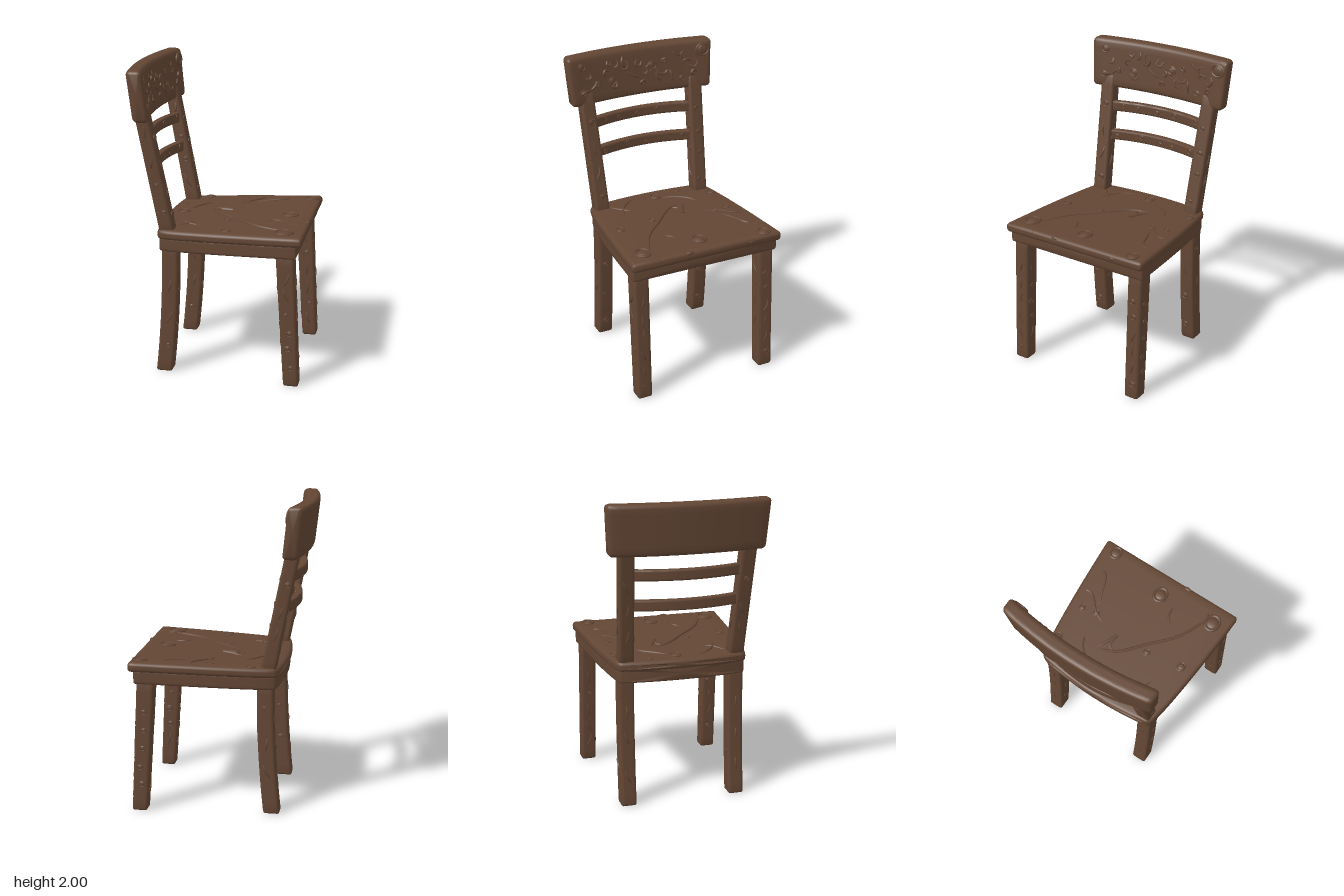
import * as THREE from 'three';
import { toCreasedNormals, mergeGeometries } from 'three/addons/utils/BufferGeometryUtils.js';

const V = (x, y, z) => new THREE.Vector3(x, y, z);
let seed = 11;
const rnd = (a = 0, b = 1) => {
  seed = (seed * 16807) % 2147483647;
  return a + (b - a) * (seed / 2147483647);
};

// Maps (u, v, along) to world axes for a beam running along x, y or z
const place = {
  x: (u, v, s) => V(s, u, v),
  y: (u, v, s) => V(v, s, u),
  z: (u, v, s) => V(u, v, s),
};

// Rounded beam: at(s) gives [centreU, centreV, halfU, halfV]; r rounds all edges
function beam(axis, s0, s1, at, r, steps = 14, warp = p => p) {
  const stations = [];
  const ends = [0.2, 0.6, 1.0, Math.PI / 2];
  for (const a of ends) stations.push([s0 + r * (1 - Math.cos(a)), r * Math.sin(a)]);
  for (let i = 1; i < steps; i++) stations.push([s0 + r + (s1 - s0 - 2 * r) * i / steps, r]);
  for (const a of [...ends].reverse()) stations.push([s1 - r * (1 - Math.cos(a)), r * Math.sin(a)]);

  const ring = ([s, rad]) => {
    const [cu, cv, hu, hv] = at(s), pts = [];
    for (let c = 0; c < 4; c++) {
      const su = c === 0 || c === 3 ? 1 : -1, sv = c < 2 ? 1 : -1;
      for (let k = 0; k <= 3; k++) {
        const a = (c + k / 3) * Math.PI / 2;
        pts.push([su * (hu - r) + rad * Math.cos(a), sv * (hv - r) + rad * Math.sin(a)]);
      }
      // subdivide the flat side so it can be bent
      const last = pts[pts.length - 1], n = (c + 1) % 4, b = (c + 1) * Math.PI / 2;
      const next = [(n === 0 || n === 3 ? 1 : -1) * (hu - r) + rad * Math.cos(b),
        (n < 2 ? 1 : -1) * (hv - r) + rad * Math.sin(b)];
      for (let k = 1; k < 8; k++) {
        pts.push([last[0] + (next[0] - last[0]) * k / 8, last[1] + (next[1] - last[1]) * k / 8]);
      }
    }
    return pts.map(([u, v]) => warp(place[axis](cu + u, cv + v, s)));
  };
  const rings = stations.map(ring), n = rings[0].length, pos = [];
  const tri = (...ps) => ps.forEach(p => pos.push(p.x, p.y, p.z));
  const mid = s => { const [cu, cv] = at(s); return warp(place[axis](cu, cv, s)); };
  const A = rings[0], Z = rings[rings.length - 1], ca = mid(stations[0][0]), cz = mid(stations[stations.length - 1][0]);
  for (let i = 0; i < n; i++) {
    const j = (i + 1) % n;
    for (let k = 0; k + 1 < rings.length; k++) {
      const a = rings[k], b = rings[k + 1];
      tri(a[i], a[j], b[j]);
      tri(a[i], b[j], b[i]);
    }
    tri(A[j], A[i], ca);
    tri(Z[i], Z[j], cz);
  }
  const g = new THREE.BufferGeometry();
  g.setAttribute('position', new THREE.Float32BufferAttribute(pos, 3));
  return toCreasedNormals(g, 0.6);
}

// Raised vein through points; its ends should dip below the surface
const vein = (pts, rad) => new THREE.TubeGeometry(new THREE.CatmullRomCurve3(pts), 20, rad, 6).toNonIndexed();

// Knot: a flattened dome with a rim, lying on a surface with the given normal
function knot(p, normal, rad) {
  const dome = new THREE.SphereGeometry(rad * 0.75, 12, 8).scale(1, 1, 0.3).toNonIndexed();
  const rim = new THREE.TorusGeometry(rad, rad * 0.2, 6, 16).scale(1, 0.85, 1).toNonIndexed();
  const q = new THREE.Quaternion().setFromUnitVectors(V(0, 0, 1), normal);
  return mergeGeometries([dome, rim]).applyQuaternion(q).translate(p.x, p.y, p.z);
}

export function createModel() {
  const chair = new THREE.Group();
  chair.name = 'chair';
  const wood = new THREE.MeshStandardMaterial({ color: 0x634634 });
  wood.name = 'dark brown wood';
  const add = (name, geo) => {
    const m = new THREE.Mesh(geo, wood);
    m.name = name;
    chair.add(m);
  };

  // Seat board and apron, tilted slightly back, with a bowed rear edge
  const seatTop = x => 0.983 + 0.03 * x;
  const width = x => 0.415 + 0.108 * Math.pow(Math.max(0, (x + 0.4) / 0.97), 0.55);
  const bowBack = p => {
    const k = Math.max(0, Math.min(1, (0.2 - p.x) / 0.58));
    p.x += 0.04 * k * (p.z / 0.45) ** 2;
    return p;
  };
  add('seat', beam('x', -0.405, 0.57, x => [seatTop(x) - 0.031, 0, 0.031, width(x)], 0.022, 20, bowBack));
  add('apron', beam('x', -0.392, 0.535, x => [0.889 + 0.03 * x, 0, 0.047, width(x) - 0.012], 0.014, 20, bowBack));

  // Grain veins on the seat, as x, z points
  const seatVeins = [
    [[-0.13, -0.16], [-0.08, -0.03], [0.08, 0.12], [0.25, 0.27], [0.53, 0.39]],
    [[-0.13, -0.16], [-0.04, -0.11], [0.03, -0.08], [-0.06, -0.09], [-0.1, -0.03]],
    [[0.17, -0.47], [0.18, -0.4], [0.08, -0.29], [0.03, -0.18]],
    [[0.36, -0.45], [0.34, -0.39], [0.22, -0.34], [0.09, -0.29]],
    [[-0.05, -0.28], [-0.17, -0.23], [-0.25, -0.12], [-0.28, -0.04]],
    [[-0.36, 0.06], [-0.29, 0.18], [-0.2, 0.25], [-0.08, 0.29]],
    [[-0.33, 0.35], [-0.2, 0.25], [-0.14, 0.18]],
    [[0.25, 0.2], [0.32, 0.13], [0.43, 0.12]],
    [[0.36, 0.42], [0.43, 0.36], [0.53, 0.33]],
  ];
  const seatGeos = seatVeins.map((v, i) => vein(v.map(([x, z], k) =>
    V(x, seatTop(x) + (k === 0 || k === v.length - 1 ? -0.013 : 0), z)), i < 2 ? 0.011 : 0.008));
  const seatKnots = [[0.42, 0, 0.05], [0.03, 0.145, 0.024], [0.07, 0.39, 0.03], [-0.3, -0.03, 0.038],
    [-0.2, -0.41, 0.028], [-0.33, -0.21, 0.02], [0.06, -0.39, 0.022], [0.51, -0.42, 0.042], [0.44, 0.4, 0.055], [0.08, -0.29, 0.022]];
  for (const [x, z, r] of seatKnots) seatGeos.push(knot(V(x, seatTop(x), z), V(-0.03, 1, 0).normalize(), r));
  // Rough lumps along the front edge
  for (let i = 0; i < 12; i++) {
    const s = rnd(0.012, 0.026);
    seatGeos.push(new THREE.SphereGeometry(s, 8, 6).scale(0.7, 0.6, 1.5).toNonIndexed()
      .translate(0.557, rnd(0.955, 1.0), -0.48 + 0.96 * i / 11));
  }
  add('seatGrain', mergeGeometries(seatGeos));

  // Legs and posts: [name, y range, side offset, x centre, half sizes]
  const uprights = [
    ['FrontLeg', 0, 0.88, () => 0.442, y => 0.512 - 0.058 * y, () => 0.05, y => 0.049 + 0.01 * y, 22],
    ['BackLeg', 0, 0.88, () => 0.365, y => -0.292 - 0.047 * Math.max(0, 1 - y / 0.83) ** 2, () => 0.051, () => 0.053, 12],
    ['BackPost', 0.95, 1.76, y => 0.366 + 0.037 * (y - 1), y => -0.3125 - 0.196 * (y - 0.97), () => 0.049, y => 0.048 - 0.006 * (y - 0.97), 14],
  ];
  for (const [name, y0, y1, zc, xc, hz, hx, lumps] of uprights) {
    for (const side of [1, -1]) {
      const label = (side > 0 ? 'left' : 'right') + name;
      add(label, beam('y', y0, y1, y => [side * zc(y), xc(y), hz(y), hx(y)], 0.016));
      // Bark lumps and short veins on the faces
      const bark = [];
      for (let i = 0; i < lumps; i++) {
        const y = y0 + 0.08 + (y1 - y0 - 0.22) * (i + rnd()) / lumps;
        const face = i % 4, off = rnd(-0.025, 0.025);
        const dir = face % 2 === 0 ? V(face === 0 ? 1 : -1, 0, 0) : V(0, 0, face === 1 ? 1 : -1);
        const on = (yy, o, lift) => V(
          xc(yy) + dir.x * (hx(yy) + lift) + Math.abs(dir.z) * o, yy,
          side * zc(yy) + dir.z * (hz(yy) + lift) + Math.abs(dir.x) * o);
        if (rnd() < 0.45) bark.push(knot(on(y, off * 0.6, 0), dir, rnd(0.012, 0.022)));
        else bark.push(vein([on(y - 0.05, -off, -0.008), on(y, off * 0.5, 0.002), on(y + 0.05, off, -0.008)], 0.007));
      }
      add(label + 'Bark', mergeGeometries(bark));
    }
  }

  // Two bowed back slats
  for (const [name, y, x] of [['lowerSlat', 1.348, -0.452], ['upperSlat', 1.545, -0.484]]) {
    const cx = z => x + 0.065 * (z / 0.36) ** 2;
    add(name, beam('z', -0.37, 0.37, z => [cx(z), y, 0.023, 0.035], 0.01, 20));
    const bits = [];
    for (let i = 0; i < 5; i++) {
      const z = -0.28 + 0.14 * i + rnd(-0.03, 0.03);
      bits.push(knot(V(cx(z) + 0.023, y + rnd(-0.012, 0.012), z), V(1, 0, 0), rnd(0.012, 0.02)));
    }
    add(name + 'Knots', mergeGeometries(bits));
  }

  // Crest rail: bowed, leaning back and wider at the top
  const crestX = (y, z) => -0.512 - 0.11 * (y - 1.835) + 0.05 * (z / 0.5) ** 2;
  const lean = p => V(p.x - 0.11 * (p.y - 1.835), p.y, p.z * (1 + 0.12 * (p.y - 1.835)));
  add('crestRail', beam('z', -0.51, 0.51, z => [crestX(1.835, z), 1.835, 0.05, 0.163], 0.028, 24, lean));

  // Curled veins and knots on the crest face
  const crest = [];
  const onCrest = (y, z, lift) => V(crestX(y, z) + 0.05 + lift, y, z);
  for (let i = 0; i < 24; i++) {
    const z0 = -0.42 + 0.84 * (i + 0.5) / 24, y0 = rnd(1.75, 1.92);
    const a = rnd(0, 6.28), turn = rnd(-1.6, 1.6), len = rnd(0.03, 0.055);
    const pts = [-1, -0.4, 0.3, 1].map((t, k) => onCrest(
      y0 + len * t * Math.sin(a + turn * t), z0 + len * t * Math.cos(a + turn * t),
      k === 0 || k === 3 ? -0.008 : 0.002));
    crest.push(vein(pts, rnd(0.006, 0.01)));
  }
  for (const [y, z, r] of [[1.93, -0.45, 0.045], [1.8, 0.2, 0.026], [1.86, -0.09, 0.03], [1.76, 0.42, 0.022], [1.75, -0.3, 0.02], [1.93, 0.42, 0.025]]) {
    crest.push(knot(onCrest(y, z, 0), V(1, 0.11, -0.2 * z).normalize(), r));
  }
  add('crestGrain', mergeGeometries(crest));
  return chair;
}
